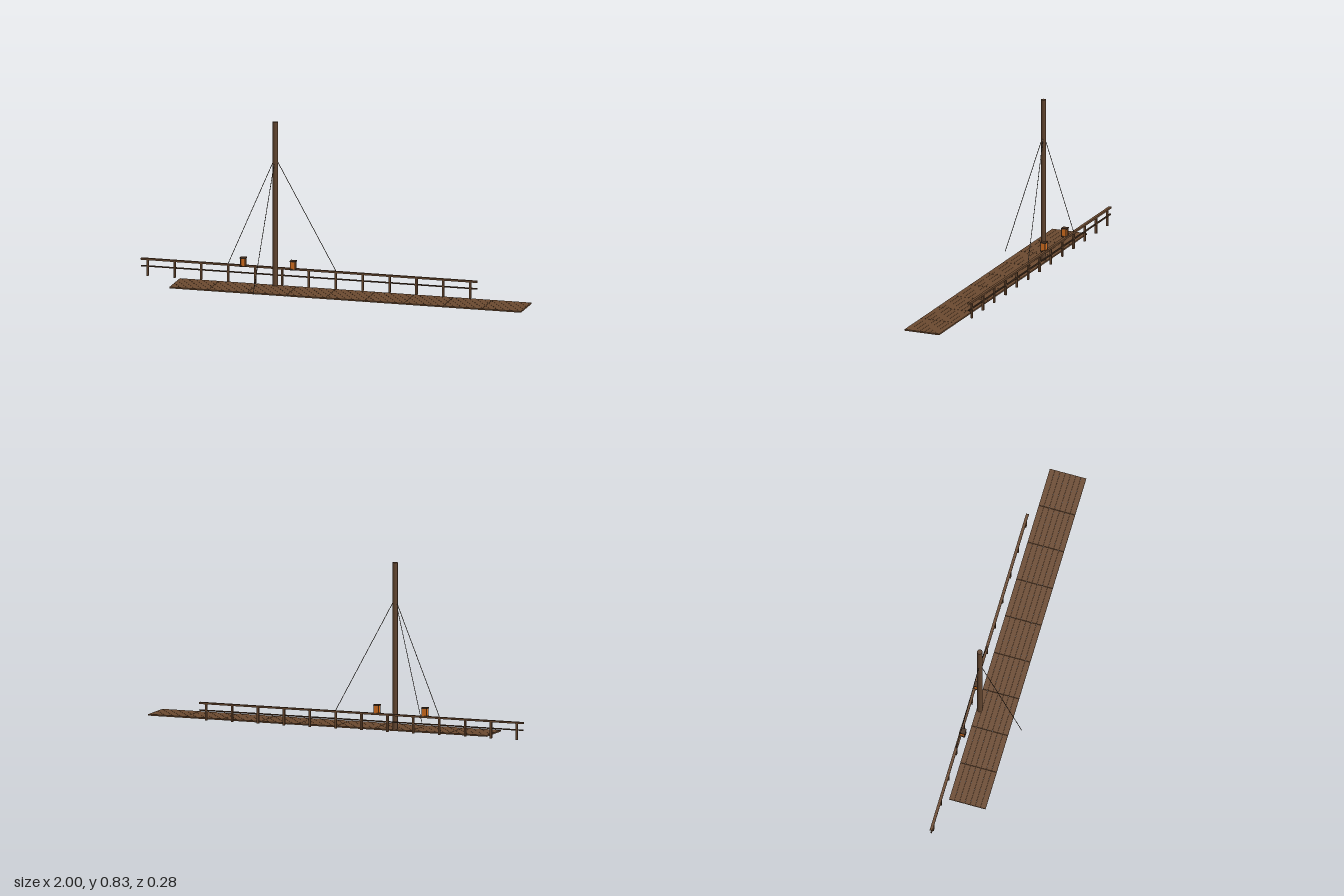
import * as THREE from 'three';

export function createModel() {
  const model = new THREE.Group();
  model.name = 'jettyWithMast';

  const material = (name, color) => {
    const m = new THREE.MeshStandardMaterial({ color });
    m.name = name;
    return m;
  };
  const wood = material('wood', 0x6b4a30);
  const mastWood = material('mastWood', 0x60442e);
  const darkWood = material('darkWood', 0x4a3423);
  const rope = material('rope', 0x3a2f25);
  const glow = material('lanternGlow', 0xd9711f);

  const add = (parent, name, geometry, mat, x, y, z) => {
    const mesh = new THREE.Mesh(geometry, mat);
    mesh.name = name;
    mesh.position.set(x, y, z);
    parent.add(mesh);
    return mesh;
  };

  // Deck: nine bays of seven long planks with narrow gaps
  const deck = new THREE.Group();
  deck.name = 'deck';
  model.add(deck);
  const bays = 9, rows = 7, x0 = -0.793, z0 = -0.102;
  const bayLength = (1 - x0) / bays, plankWidth = 0.186 / rows;
  const plank = new THREE.BoxGeometry(bayLength - 0.002, 0.007, plankWidth - 0.0008);
  for (let i = 0; i < bays; i++) {
    for (let j = 0; j < rows; j++) {
      add(deck, 'plank', plank, wood, x0 + (i + 0.5) * bayLength, 0.0035, z0 + (j + 0.5) * plankWidth);
    }
  }

  // Railing behind the deck
  const railing = new THREE.Group();
  railing.name = 'railing';
  model.add(railing);
  const railZ = -0.134, railX = -0.143, railLength = 1.714;
  add(railing, 'topRail', new THREE.BoxGeometry(railLength, 0.009, 0.014), wood, railX, 0.0845, railZ);
  add(railing, 'midRail', new THREE.BoxGeometry(railLength, 0.006, 0.007), darkWood, railX, 0.049, railZ);
  const post = new THREE.BoxGeometry(0.01, 0.08, 0.01);
  for (let i = 0; i < 13; i++) {
    add(railing, 'railPost', post, wood, -0.966 + i * 0.137, 0.04, railZ);
  }

  // Mast
  const mastX = -0.302, mastZ = -0.086;
  add(model, 'mast', new THREE.CylinderGeometry(0.013, 0.013, 0.833, 12), mastWood, mastX, 0.4165, mastZ);

  // Stays from the mast to the railing and the ground
  const masthead = new THREE.Vector3(mastX, 0.655, mastZ);
  for (const end of [[-0.557, 0.087, railZ], [-0.005, 0.087, railZ], [-0.35, 0.01, 0.141]]) {
    const path = new THREE.LineCurve3(masthead, new THREE.Vector3(...end));
    add(model, 'stay', new THREE.TubeGeometry(path, 1, 0.0016, 6), rope, 0, 0, 0);
  }

  // Lanterns on the rail: plates, corner bars and a glowing core
  const plate = new THREE.BoxGeometry(0.03, 0.005, 0.03);
  const bar = new THREE.BoxGeometry(0.0035, 0.04, 0.0035);
  const core = new THREE.BoxGeometry(0.023, 0.038, 0.023);
  for (const x of [-0.475, -0.221]) {
    const lantern = new THREE.Group();
    lantern.name = 'lantern';
    lantern.position.set(x, 0.084, -0.123);
    model.add(lantern);
    add(lantern, 'lanternBase', plate, darkWood, 0, 0.0025, 0);
    add(lantern, 'lanternCap', plate, darkWood, 0, 0.0435, 0);
    add(lantern, 'lanternLight', core, glow, 0, 0.023, 0);
    for (const sx of [-1, 1]) {
      for (const sz of [-1, 1]) add(lantern, 'lanternBar', bar, darkWood, sx * 0.0115, 0.023, sz * 0.0115);
    }
  }

  return model;
}
